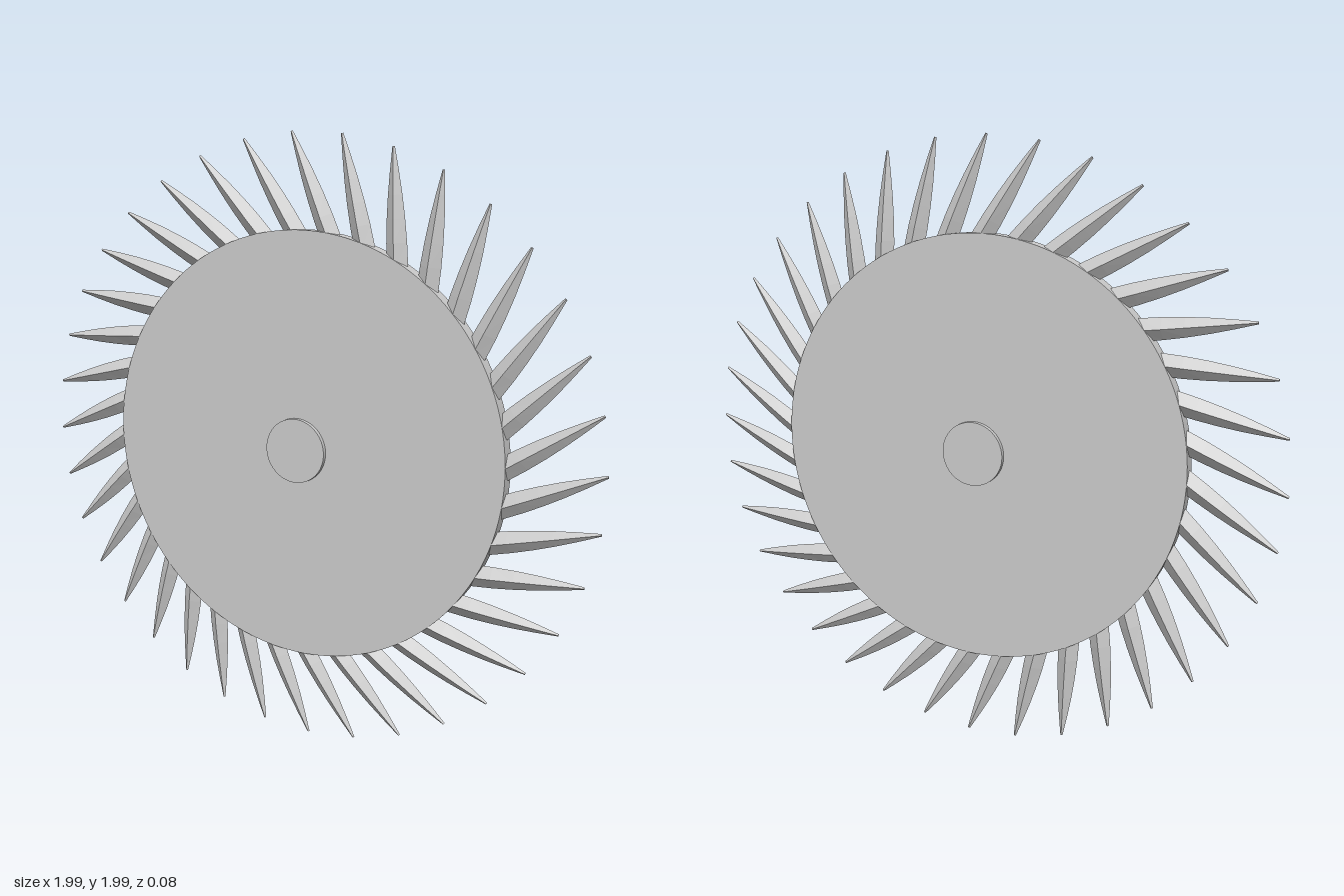
import * as THREE from 'three';

const material = new THREE.MeshStandardMaterial({ color: 0xcccccc });
const toothMaterial = new THREE.MeshStandardMaterial({ color: 0xcccccc, flatShading: true });

// Blade with a diamond section; its point is at the origin and it points along +x
function toothGeometry() {
  const stations = [ // distance behind the point, half width, half thickness
    [0.35, 0.035, 0.0248], [0.28, 0.034, 0.0245], [0.21, 0.03, 0.021],
    [0.14, 0.0235, 0.0165], [0.07, 0.0145, 0.0105], [0, 0.004, 0.004],
  ];
  const positions = [], index = [];
  for (const [d, w, h] of stations) {
    positions.push(-d, w, 0, -d, 0, h, -d, -w, 0, -d, 0, -h);
  }
  for (let i = 0; i < stations.length - 1; i++) {
    for (let j = 0; j < 4; j++) {
      const a = i * 4 + j, b = i * 4 + (j + 1) % 4;
      index.push(a, b, b + 4, a, b + 4, a + 4);
    }
  }
  const t = (stations.length - 1) * 4;
  index.push(t, t + 1, t + 2, t, t + 2, t + 3, 0, 2, 1, 0, 3, 2);
  const geometry = new THREE.BufferGeometry();
  geometry.setAttribute('position', new THREE.Float32BufferAttribute(positions, 3));
  geometry.setIndex(index);
  geometry.computeVertexNormals();
  return geometry;
}

// Round plate facing z
function plate(name, radius, thickness, segments) {
  const geometry = new THREE.CylinderGeometry(radius, radius, thickness, segments).rotateX(Math.PI / 2);
  const mesh = new THREE.Mesh(geometry, material);
  mesh.name = name;
  return mesh;
}

export function createModel() {
  const model = new THREE.Group();
  model.name = 'toothedWheel';
  const wheel = new THREE.Group();
  wheel.name = 'wheel';
  wheel.position.y = 1;
  model.add(wheel);

  wheel.add(plate('disc', 0.7, 0.05, 128));
  wheel.add(plate('hub', 0.105, 0.08, 64));

  // Ring of teeth, all leaning the same way
  const teeth = new THREE.Group();
  teeth.name = 'teeth';
  wheel.add(teeth);
  const geometry = toothGeometry();
  const count = 36, tipRadius = 0.996;
  const lean = THREE.MathUtils.degToRad(21.4);
  for (let i = 0; i < count; i++) {
    const angle = THREE.MathUtils.degToRad(1.8) + (i / count) * Math.PI * 2;
    const tooth = new THREE.Mesh(geometry, toothMaterial);
    tooth.name = 'tooth';
    tooth.position.set(Math.cos(angle) * tipRadius, Math.sin(angle) * tipRadius, 0);
    tooth.rotation.z = angle + lean;
    teeth.add(tooth);
  }
  return model;
}
